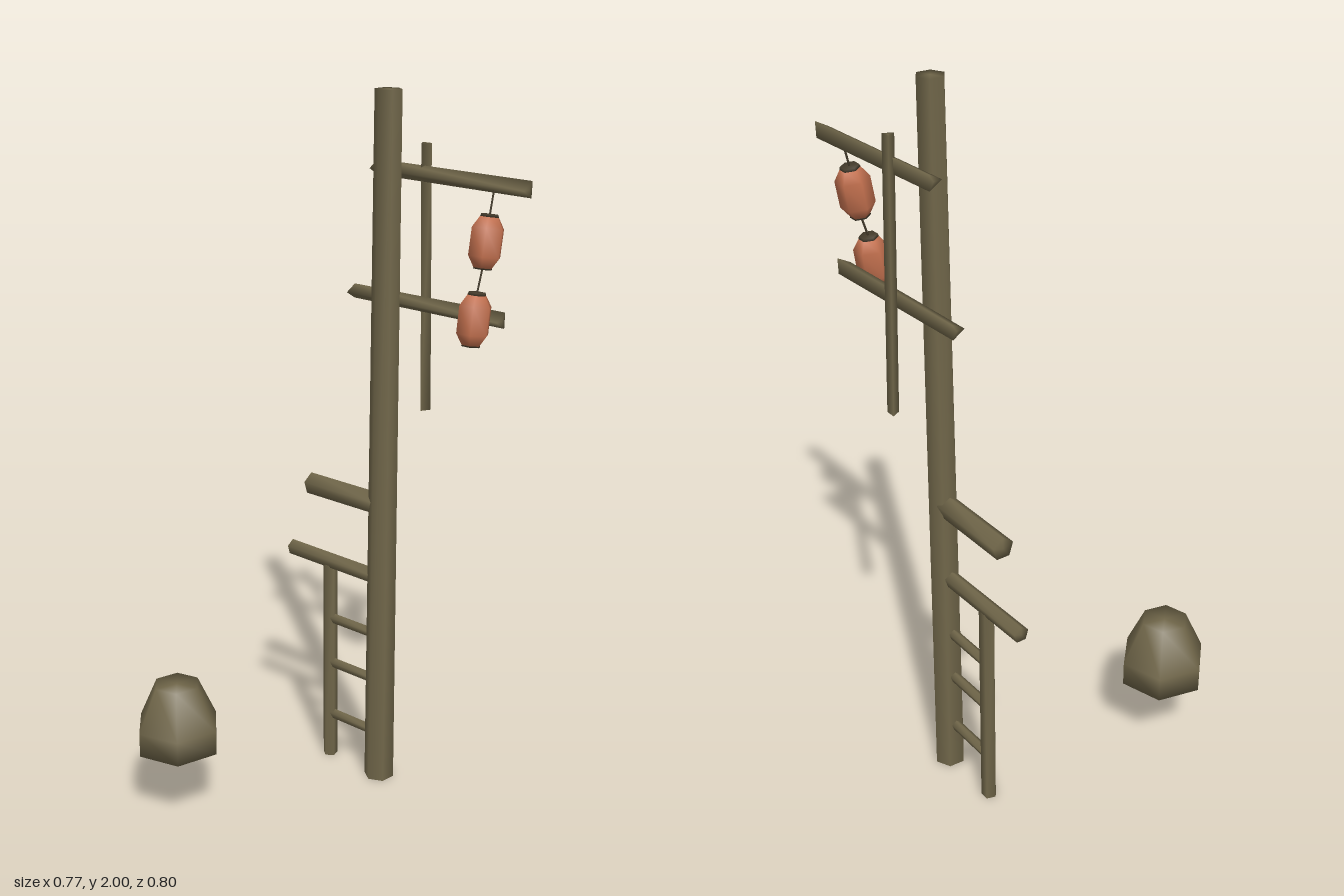
import * as THREE from 'three';
import { mergeVertices } from 'three/addons/utils/BufferGeometryUtils.js';

const material = (name, color) => {
  const m = new THREE.MeshStandardMaterial({ color });
  m.name = name;
  return m;
};

// Weld all corners so shading runs softly over the low-poly edges
function weld(geometry) {
  geometry.deleteAttribute('uv');
  geometry.deleteAttribute('normal');
  const g = mergeVertices(geometry, 1e-5);
  g.computeVertexNormals();
  return g;
}

function addMesh(parent, name, geometry, mat) {
  const mesh = new THREE.Mesh(geometry, mat);
  mesh.name = name;
  parent.add(mesh);
  return mesh;
}

// Prism with the given number of sides, running from point a to point b
function addRod(parent, name, a, b, ra, rb, sides, turn, mat) {
  const start = new THREE.Vector3(...a);
  const end = new THREE.Vector3(...b);
  const dir = end.clone().sub(start);
  const geometry = new THREE.CylinderGeometry(rb, ra, dir.length(), sides, 1, false, turn);
  const mesh = addMesh(parent, name, weld(geometry), mat);
  mesh.quaternion.setFromUnitVectors(new THREE.Vector3(0, 1, 0), dir.normalize());
  mesh.position.copy(start.add(end).multiplyScalar(0.5));
  return mesh;
}

// Six-sided turned body from [radius, height] pairs
function turned(profile, turn) {
  return weld(new THREE.LatheGeometry(profile.map(([r, y]) => new THREE.Vector2(r, y)), 6, turn));
}

export function createModel() {
  const model = new THREE.Group();
  model.name = 'lanternPole';
  const wood = material('weatheredWood', 0x71674a);
  const paper = material('lanternPaper', 0xc4714f);
  const dark = material('darkTrim', 0x453c2c);
  const left = -Math.PI / 2;

  // Main pole
  addRod(model, 'pole', [0.278, 0, 0], [0.276, 2, 0], 0.044, 0.037, 6, Math.PI / 6 - 0.08, wood);

  // Triangular beams beside the pole, and the upright batten joining them
  addRod(model, 'upperBeam', [0.334, 1.784, -0.09], [0.345, 1.777, 0.4], 0.024, 0.025, 3, left, wood);
  addRod(model, 'lowerBeam', [0.331, 1.436, -0.165], [0.343, 1.432, 0.335], 0.023, 0.025, 3, left, wood);
  addRod(model, 'batten', [0.376, 1.13, 0.063], [0.357, 1.86, 0.06], 0.017, 0.017, 3, left, wood);

  // Rear arms
  addRod(model, 'upperArm', [0.278, 0.86, -0.02], [0.278, 0.86, -0.27], 0.032, 0.032, 5, 0, wood);
  addRod(model, 'lowerArm', [0.278, 0.636, -0.02], [0.278, 0.64, -0.345], 0.023, 0.023, 5, 0, wood);

  // Ladder behind the pole
  addRod(model, 'ladderPost', [0.278, 0, -0.193], [0.278, 0.625, -0.196], 0.022, 0.022, 5, left, wood);
  for (const y of [0.14, 0.31, 0.455]) {
    addRod(model, 'rung', [0.278, y, -0.02], [0.278, y, -0.185], 0.015, 0.015, 5, 0, wood);
  }

  // Hanging lanterns with dark end caps
  const body = turned([[0, -0.065], [0.026, -0.065], [0.045, -0.036], [0.045, 0.036], [0.026, 0.065], [0, 0.065]], 0);
  const cap = weld(new THREE.CylinderGeometry(0.024, 0.027, 0.009, 6));
  for (const [x, y, tilt] of [[0.316, 1.637, -0.17], [0.275, 1.442, -0.14]]) {
    const lantern = new THREE.Group();
    lantern.name = 'lantern';
    addMesh(lantern, 'lanternBody', body, paper);
    addMesh(lantern, 'topCap', cap, dark).position.y = 0.067;
    addMesh(lantern, 'bottomCap', cap, dark).position.y = -0.064;
    lantern.position.set(x, y, 0.295);
    lantern.rotation.z = tilt;
    model.add(lantern);
  }
  addRod(model, 'upperCord', [0.328, 1.705, 0.295], [0.343, 1.77, 0.295], 0.003, 0.003, 4, 0, dark);
  addRod(model, 'lowerCord', [0.285, 1.51, 0.295], [0.304, 1.57, 0.295], 0.003, 0.003, 4, 0, dark);

  // Tapered tub standing off to the side
  const tub = turned([[0, 0], [0.122, 0], [0.122, 0.07], [0.066, 0.192], [0, 0.192]], 0.27);
  addMesh(model, 'tub', tub, wood).position.set(-0.267, 0.22, -0.281);

  return model;
}
